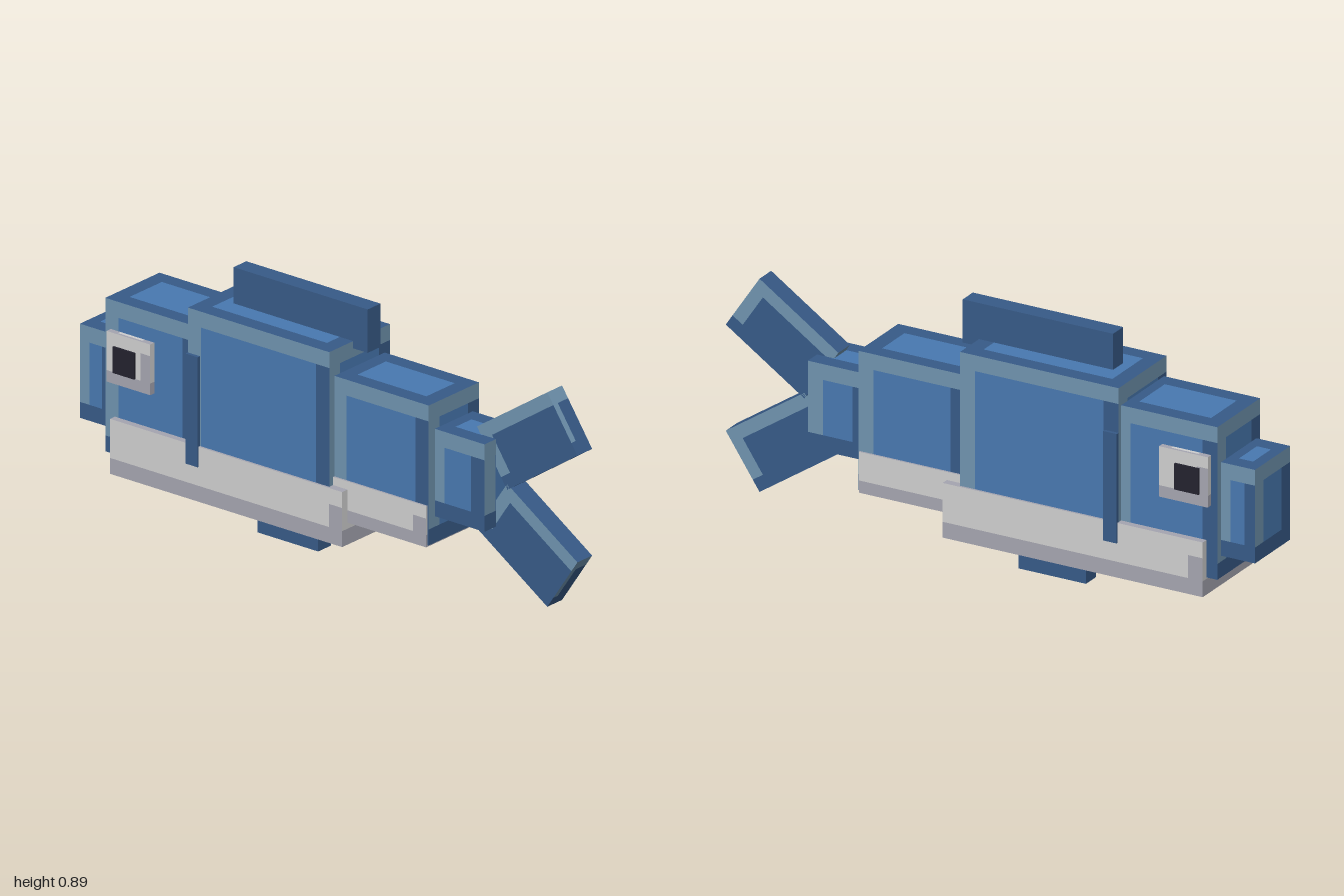
import * as THREE from 'three';

const mat = (name, color) => {
  const m = new THREE.MeshStandardMaterial({ color });
  m.name = name;
  return m;
};

export function createModel() {
  const fish = new THREE.Group();
  fish.name = 'fish';

  const light = mat('paleBlue', 0x6f93ae);
  const mid = mat('blue', 0x4878b0);
  const dark = mat('deepBlue', 0x375a87);
  const pale = mat('white', 0xcfcfcf);
  const grey = mat('grey', 0xa5a5b0);
  const black = mat('black', 0x23222e);

  // palettes: centre, upper-left edge, lower-right edge
  const skin = [mid, light, dark];
  const finSkin = [dark, light, dark];
  const under = [pale, pale, grey];

  const add = (name, geometry, material, x, y, z, parent = fish) => {
    const mesh = new THREE.Mesh(geometry, material);
    mesh.name = name;
    mesh.position.set(x, y, z);
    parent.add(mesh);
    return mesh;
  };

  // box whose six faces each carry a painted border of width m
  function paintedBox(w, h, d, m) {
    const g = new THREE.BoxGeometry(w, h, d, 3, 3, 3);
    const p = g.attributes.position;
    const size = [w, h, d];
    for (let i = 0; i < p.count; i++) {
      size.forEach((s, a) => {
        const v = p.getComponent(i, a);
        if (Math.abs(v) < s * 0.3) {
          p.setComponent(i, a, Math.sign(v) * (s / 2 - Math.min(m, s * 0.3)));
        }
      });
    }
    // one group per cell: 3 x 3 cells on each face
    g.clearGroups();
    for (let face = 0; face < 6; face++) {
      for (let row = 0; row < 3; row++) {
        for (let col = 0; col < 3; col++) {
          let tone = 0;
          if (row === 2 || col === 2) tone = 2;
          if (row === 0 || (col === 0 && row < 2)) tone = 1;
          if (row === 0 && col === 2) tone = 1;
          // top and underside have a dark rim only
          if ((face === 2 || face === 3) && tone === 1) tone = 2;
          g.addGroup((face * 9 + row * 3 + col) * 6, 6, tone);
        }
      }
    }
    return g;
  }

  const block = (name, x0, x1, y0, y1, halfZ, palette = skin, m = 0.055) =>
    add(name, paintedBox(x1 - x0, y1 - y0, halfZ * 2, m), palette,
      (x0 + x1) / 2, (y0 + y1) / 2, 0);

  const plain = (name, x0, x1, y0, y1, halfZ, material = dark) =>
    add(name, new THREE.BoxGeometry(x1 - x0, y1 - y0, halfZ * 2), material,
      (x0 + x1) / 2, (y0 + y1) / 2, 0);

  // body, from snout to tail
  block('snout', -1, -0.87, 0.245, 0.57, 0.112);
  block('head', -0.875, -0.5, 0.17, 0.7, 0.136);
  block('body', -0.52, 0.065, 0.15, 0.765, 0.152);
  block('rearBody', 0.06, 0.455, 0.192, 0.675, 0.126);
  block('tailBase', 0.44, 0.66, 0.283, 0.585, 0.095);

  // pale underside
  block('belly', -0.835, 0.125, 0.11, 0.3, 0.16, under);
  block('rearBelly', 0.06, 0.45, 0.186, 0.328, 0.133, under);

  // fins
  plain('dorsalFin', -0.43, 0.125, 0.74, 0.89, 0.032);
  plain('bottomFin', -0.33, -0.08, 0, 0.13, 0.032);
  plain('sideFins', -0.52, -0.47, 0.23, 0.61, 0.164);

  // forked tail
  for (const s of [1, -1]) {
    const lobe = add(s > 0 ? 'upperTailFin' : 'lowerTailFin',
      paintedBox(0.35, 0.224, 0.074, 0.045), finSkin, 0.789, 0.432 + s * 0.18, 0);
    lobe.rotation.z = s * 0.59;
  }

  // eyes
  for (const s of [1, -1]) {
    const eye = new THREE.Group();
    eye.name = s > 0 ? 'frontEye' : 'backEye';
    fish.add(eye);
    add('eyeWhite', paintedBox(0.18, 0.175, 0.03, 0.04), under, -0.762, 0.511, s * 0.142, eye);
    add('pupil', new THREE.BoxGeometry(0.09, 0.09, 0.009), black, -0.777, 0.509, s * 0.1605, eye);
  }

  return fish;
}
